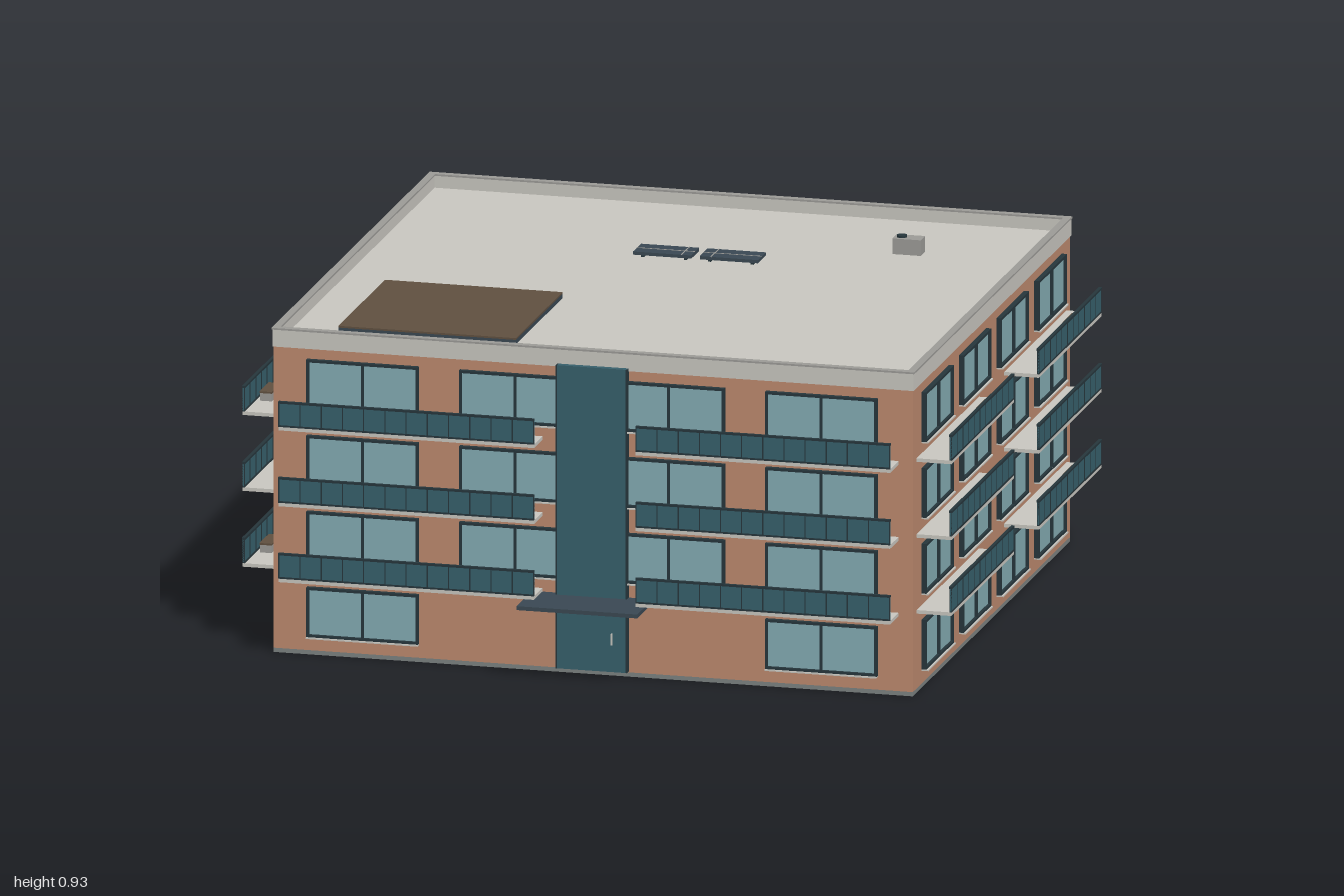
import * as THREE from 'three';

const mat = (name, color) => Object.assign(new THREE.MeshStandardMaterial({ color }), { name });

export function createModel() {
  const brick = mat('brick', 0xbd8a6e);
  const stone = mat('paleStone', 0xc9c7c0);
  const grey = mat('copingGrey', 0x9c9b97);
  const teal = mat('tealPanel', 0x37606c);
  const dark = mat('darkMetal', 0x26363c);
  const slate = mat('slate', 0x3a4853);
  const glass = mat('windowGlass', 0x84acb3);
  const wood = mat('brownDeck', 0x605040);
  const base = mat('foundationGrey', 0x7c8281);

  const model = new THREE.Group();
  model.name = 'apartmentBlock';

  // box given by its minimum and maximum on each axis
  function box(parent, name, material, x0, x1, y0, y1, z0, z1) {
    const m = new THREE.Mesh(new THREE.BoxGeometry(x1 - x0, y1 - y0, z1 - z0), material);
    m.position.set((x0 + x1) / 2, (y0 + y1) / 2, (z0 + z1) / 2);
    m.name = name;
    parent.add(m);
    return m;
  }

  const rect = (P, x0, x1, y0, y1) => {
    const p = new P();
    p.moveTo(x0, y0); p.lineTo(x1, y0); p.lineTo(x1, y1); p.lineTo(x0, y1); p.closePath();
    return p;
  };

  const X = 0.9, ZF = 0.8, ZB = -0.868, FLOOR = 0.214;

  // walls and foundation
  box(model, 'foundation', base, -X, X, 0, 0.012, ZB, ZF);
  box(model, 'brickWalls', brick, -X, X, 0.012, 0.862, ZB, ZF);
  box(model, 'roof', stone, -X, X, 0.862, 0.876, ZB, ZF);

  // parapet ring with a grey coping
  function ring(name, material, out, inn, y, h) {
    const s = rect(THREE.Shape, -X - out, X + out, -ZF - out, -ZB + out);
    s.holes.push(rect(THREE.Path, -X + inn, X - inn, -ZF + inn, -ZB - inn));
    const m = new THREE.Mesh(new THREE.ExtrudeGeometry(s, { depth: h, bevelEnabled: false }), material);
    m.rotation.x = -Math.PI / 2;
    m.position.y = y;
    m.name = name;
    model.add(m);
  }
  ring('parapet', stone, 0.003, 0.014, 0.862, 0.048);
  ring('coping', grey, 0.005, 0.016, 0.91, 0.005);

  // window with a two-light frame, glass and sill, on a wall facing local +z
  function addWindow(wall, x0, x1, y0) {
    const g = new THREE.Group(), y1 = y0 + 0.14, t = 0.007, c = (x0 + x1) / 2;
    g.name = 'window';
    const s = rect(THREE.Shape, x0, x1, y0, y1);
    s.holes.push(rect(THREE.Path, x0 + t, c - 0.003, y0 + t, y1 - t));
    s.holes.push(rect(THREE.Path, c + 0.003, x1 - t, y0 + t, y1 - t));
    const frame = new THREE.Mesh(new THREE.ExtrudeGeometry(s, { depth: 0.014, bevelEnabled: false }), dark);
    frame.name = 'windowFrame';
    g.add(frame);
    box(g, 'glass', glass, x0 + 0.003, x1 - 0.003, y0 + 0.003, y1 - 0.003, 0, 0.006);
    box(g, 'sill', stone, x0, x1, y0 - 0.004, y0, 0, 0.019);
    wall.add(g);
  }

  // balcony with slab, panelled railing and, on some floors, a bench
  function addBalcony(wall, x0, x1, y, depth, bench) {
    const g = new THREE.Group();
    g.name = 'balcony';
    box(g, 'slab', stone, x0, x1, y - 0.01, y, 0, depth - 0.002);
    box(g, 'railingPanel', teal, x0, x1, y + 0.003, y + 0.066, depth - 0.006, depth - 0.002);
    box(g, 'topRail', dark, x0, x1, y + 0.066, y + 0.072, depth - 0.009, depth);
    box(g, 'bottomRail', dark, x0, x1, y, y + 0.005, depth - 0.008, depth - 0.001);
    const n = Math.round((x1 - x0) / 0.06);
    for (let i = 0; i <= n; i++) {
      const x = x0 + 0.0015 + (x1 - x0 - 0.003) * i / n;
      box(g, 'post', dark, x - 0.0015, x + 0.0015, y, y + 0.068, depth - 0.008, depth - 0.001);
    }
    if (bench !== null) {
      const z = depth - 0.052;
      box(g, 'benchBase', grey, bench - 0.047, bench + 0.047, y, y + 0.022, z, z + 0.033);
      box(g, 'benchSeat', wood, bench - 0.049, bench + 0.049, y + 0.022, y + 0.027, z - 0.001, z + 0.034);
    }
    wall.add(g);
  }

  // facades: dir maps the world coordinate along the wall to local x
  const longWindows = [[-0.805, -0.49], [-0.375, -0.06], [0.057, 0.372], [0.487, 0.802]];
  const sideWindows = [[-0.78, -0.487], [-0.38, -0.087], [0.02, 0.313], [0.415, 0.708]];
  const longBalconies = [[-0.863, -0.143], [0.143, 0.86]];
  const sideBalconies = [[-0.83, -0.168], [0.098, 0.76]];
  const facades = [
    { name: 'frontFacade', pos: [0, 0, ZF], turn: 0, dir: 1, windows: longWindows,
      balconies: longBalconies, benches: [-0.327, 0.678], depth: 0.092 },
    { name: 'backFacade', pos: [0, 0, ZB], turn: Math.PI, dir: -1, windows: longWindows,
      balconies: longBalconies, benches: [-0.685, 0.32], depth: 0.095 },
    { name: 'leftFacade', pos: [X, 0, 0], turn: Math.PI / 2, dir: -1, windows: sideWindows,
      balconies: sideBalconies, benches: [-0.66, 0.26], depth: 0.1 },
    { name: 'rightFacade', pos: [-X, 0, 0], turn: -Math.PI / 2, dir: 1, windows: sideWindows,
      balconies: sideBalconies, benches: [-0.335, 0.593], depth: 0.1 },
  ];
  for (const f of facades) {
    const wall = new THREE.Group();
    wall.name = f.name;
    wall.position.set(...f.pos);
    wall.rotation.y = f.turn;
    const span = ([a, b]) => (f.dir > 0 ? [a, b] : [-b, -a]);
    for (let k = 0; k < 4; k++) {
      f.windows.forEach((w, i) => {
        const behindEntrance = f.name === 'frontFacade' && k === 0 && (i === 1 || i === 2);
        if (!behindEntrance) addWindow(wall, ...span(w), 0.052 + k * FLOOR);
      });
      if (k > 0) f.balconies.forEach((b, i) =>
        addBalcony(wall, ...span(b), 0.233 + (k - 1) * FLOOR, f.depth, k === 2 ? null : f.dir * f.benches[i]));
    }
    model.add(wall);
  }

  // entrance strip, door and canopy
  const entrance = new THREE.Group();
  entrance.name = 'entrance';
  box(entrance, 'entranceStrip', teal, -0.1, 0.1, 0.015, 0.87, ZF, ZF + 0.02);
  for (const s of [-1, 1])
    box(entrance, 'stripEdge', dark, s * 0.0985 - 0.002, s * 0.0985 + 0.002, 0.015, 0.87, ZF, ZF + 0.021);
  box(entrance, 'doorHandle', stone, 0.056, 0.06, 0.092, 0.124, ZF + 0.02, ZF + 0.028);
  box(entrance, 'canopy', slate, -0.172, 0.168, 0.212, 0.223, ZF, 0.965);
  model.add(entrance);

  // roof terrace
  box(model, 'roofTerraceEdge', slate, -0.755, -0.255, 0.876, 0.888, 0.165, 0.66);
  box(model, 'roofTerrace', wood, -0.755, -0.255, 0.888, 0.893, 0.165, 0.66);

  // solar panels with pale grid lines
  for (const x of [-0.178, 0.01]) {
    const g = new THREE.Group();
    g.name = 'solarPanel';
    box(g, 'panel', slate, x, x + 0.164, 0.884, 0.893, -0.376, -0.292);
    box(g, 'panelLine', grey, x, x + 0.164, 0.892, 0.894, -0.334, -0.331);
    const cross = x < 0 ? x + 0.135 : x + 0.03;
    box(g, 'panelLine', grey, cross, cross + 0.003, 0.892, 0.894, -0.376, -0.292);
    for (const s of [0.02, 0.14]) box(g, 'panelFoot', dark, x + s, x + s + 0.008, 0.876, 0.884, -0.365, -0.303);
    model.add(g);
  }

  // ventilation unit with fan
  const vent = new THREE.Group();
  vent.name = 'ventilationUnit';
  box(vent, 'ventBox', grey, 0.495, 0.575, 0.876, 0.92, -0.555, -0.508);
  const fan = new THREE.Mesh(new THREE.CylinderGeometry(0.014, 0.014, 0.006, 20), dark);
  fan.name = 'fan';
  fan.position.set(0.516, 0.923, -0.531);
  vent.add(fan);
  model.add(vent);

  return model;
}
